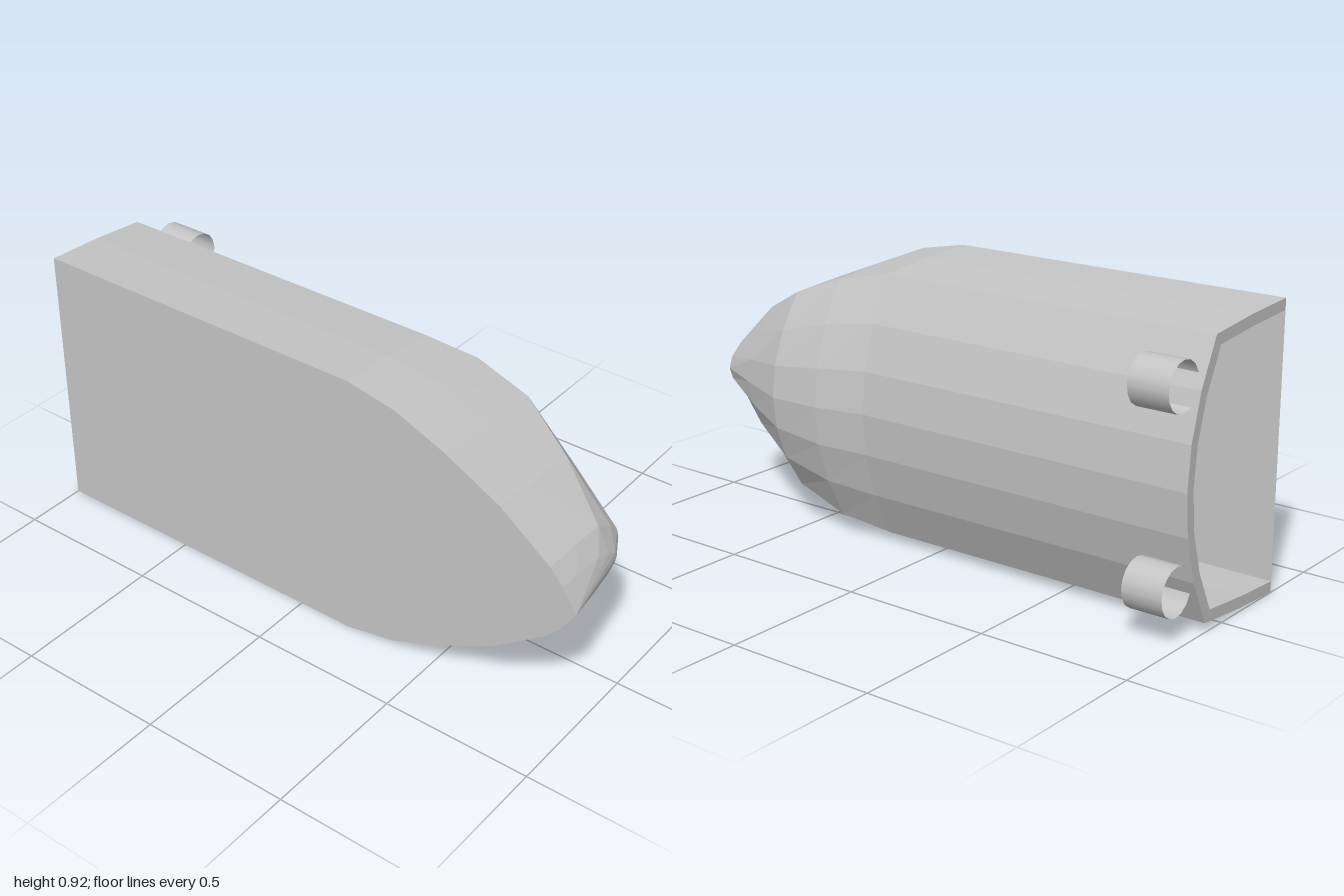
import * as THREE from 'three';

const MID = 0.461;    // height of the centreline
const DECK_Z = 0.29;  // flat deck plane

// Hull stations: x, deck half width, chine half width, chine z, keel z
const STATIONS = [
  [-1, 0.46, 0.43, -0.095, -0.22],
  [0.19, 0.46, 0.43, -0.095, -0.22],
  [0.36, 0.427, 0.396, -0.13, -0.256],
  [0.54, 0.354, 0.328, -0.135, -0.26],
  [0.73, 0.256, 0.235, -0.058, -0.177],
  [0.905, 0.125, 0.118, 0.035, -0.093],
  [0.95, 0.077, 0.06, 0.1, -0.01],
  [1, 0, 0, DECK_Z, DECK_Z],
];

// One cross-section, from the upper deck edge round the keel to the lower deck edge
function section([x, deck, chine, chineZ, keelZ], inset) {
  const half = [
    [deck, DECK_Z],
    [(deck + chine) / 2 + 0.004 * (deck / 0.46), (DECK_Z + chineZ) / 2],
  ];
  for (const f of [1, 0.66, 0.32, 0]) {
    half.push([chine * f, keelZ + (chineZ - keelZ) * f * f]);
  }
  const lower = half.slice(0, -1).reverse().map(([w, z]) => [-w, z]);
  return [...half, ...lower].map(([w, z]) => new THREE.Vector3(
    x,
    MID + w * (inset ? 0.92 : 1),
    inset ? DECK_Z - (DECK_Z - z) * 0.935 : z,
  ));
}

// Faceted skin through a list of cross-sections
function skin(rows, flip) {
  const points = [];
  const tri = (a, b, c) => points.push(...(flip ? [a, c, b] : [a, b, c]));
  for (let i = 0; i < rows.length - 1; i++) {
    for (let j = 0; j < rows[i].length - 1; j++) {
      const a = rows[i][j], b = rows[i + 1][j];
      const c = rows[i + 1][j + 1], d = rows[i][j + 1];
      if (a.distanceTo(d) > 1e-6) tri(a, c, d);
      if (b.distanceTo(c) > 1e-6) tri(a, b, c);
    }
  }
  const geometry = new THREE.BufferGeometry().setFromPoints(points);
  geometry.computeVertexNormals();
  return geometry;
}

export function createModel() {
  const model = new THREE.Group();
  const grey = new THREE.MeshStandardMaterial({ color: 0xc4c4c4, side: THREE.DoubleSide });
  grey.name = 'light grey';

  const add = (geometry, name) => {
    const mesh = new THREE.Mesh(geometry, grey);
    mesh.name = name;
    model.add(mesh);
    return mesh;
  };

  // Hull shell, open at the stern
  const outer = STATIONS.map((s) => section(s, false));
  const inner = STATIONS.slice(0, 6).map((s) => section(s, true));
  add(skin(outer, false), 'outerHull');
  add(skin(inner, true), 'innerHull');
  add(skin([inner[0], outer[0]], false), 'sternRim');

  // Flat deck closing the front
  const upper = STATIONS.map(([x, w]) => new THREE.Vector2(x, MID + w));
  const lower = STATIONS.slice(0, -1).map(([x, w]) => new THREE.Vector2(x, MID - w));
  const deck = new THREE.ShapeGeometry(new THREE.Shape([...lower, ...upper.reverse()]));
  add(deck.translate(0, 0, DECK_Z), 'deck');

  // Pair of open tubes near the stern
  for (const side of [-1, 1]) {
    const tube = new THREE.CylinderGeometry(0.078, 0.078, 0.135, 16, 1, true).rotateZ(Math.PI / 2);
    add(tube, side > 0 ? 'upperSternTube' : 'lowerSternTube')
      .position.set(-0.908, MID + side * 0.302, -0.217);
  }

  return model;
}
